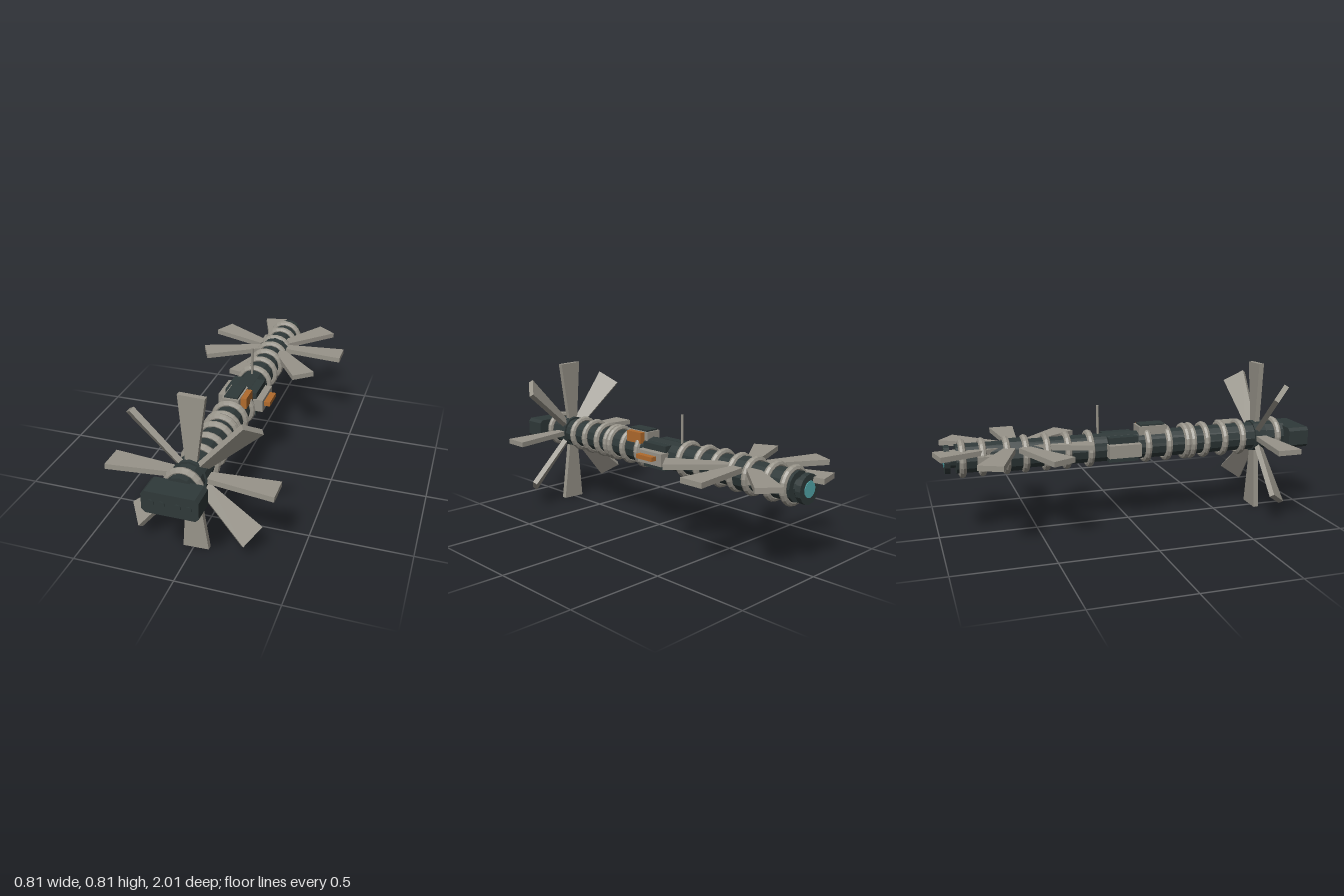
import * as THREE from 'three';

const AXIS = 0.41; // height of the hull axis

function material(name, color) {
  const m = new THREE.MeshStandardMaterial({ color });
  m.name = name;
  return m;
}

export function createModel() {
  const root = new THREE.Group();
  root.name = 'spaceStation';
  const dark = material('dark hull', 0x2f3939);
  const grey = material('warm grey metal', 0x98948a);
  const orange = material('orange panel', 0xb06a2c);
  const cyan = material('cyan glow', 0x55aaad);

  const add = (name, geometry, mat, x, y, z, parent = root) => {
    const mesh = new THREE.Mesh(geometry, mat);
    mesh.name = name;
    mesh.position.set(x, y, z);
    parent.add(mesh);
    return mesh;
  };
  // box given by its limits on each axis
  const box = (name, mat, x0, x1, y0, y1, z0, z1) =>
    add(name, new THREE.BoxGeometry(x1 - x0, y1 - y0, z1 - z0), mat,
      (x0 + x1) / 2, (y0 + y1) / 2, (z0 + z1) / 2);
  // faceted cylinder along z
  const drum = (name, mat, radius, z0, z1, sides = 12, x = 0) => {
    const g = new THREE.CylinderGeometry(radius, radius, z1 - z0, sides).toNonIndexed();
    g.rotateX(Math.PI / 2);
    g.computeVertexNormals();
    return add(name, g, mat, x, AXIS, (z0 + z1) / 2);
  };

  // Hull
  drum('hull', dark, 0.076, -0.9, 0.89);

  // Rings around the hull
  const ringZ = [0.84, 0.63, 0.525, 0.42, 0.343, 0.31, 0.205, 0.09,
    -0.22, -0.34, -0.447, -0.555, -0.65, -0.77, -0.87];
  const ring = new THREE.TorusGeometry(0.081, 0.018, 8, 20).toNonIndexed();
  ring.computeVertexNormals();
  ringZ.forEach((z) => add('hullRing', ring, grey, 0, AXIS, z));

  // Front head block with cut corners
  const [hw, hh, c] = [0.132, 0.055, 0.016];
  const headShape = new THREE.Shape([
    [-hw + c, -hh], [hw - c, -hh], [hw, -hh + c], [hw, hh - c],
    [hw - c, hh], [-hw + c, hh], [-hw, hh - c], [-hw, -hh + c],
  ].map(([x, y]) => new THREE.Vector2(x, y)));
  add('headBlock', new THREE.ExtrudeGeometry(headShape, { depth: 0.115, bevelEnabled: false }),
    dark, -0.003, AXIS, 0.88);
  [-0.09, -0.04, 0.033, 0.083].forEach((x) => drum('headPort', dark, 0.017, 0.99, 1.0, 20, x));

  // Tapered blade lying along +x
  const bladeShape = new THREE.Shape([
    [0.08, -0.029], [0.403, -0.064], [0.403, 0.064], [0.08, 0.029],
  ].map(([x, y]) => new THREE.Vector2(x, y)));
  const blade = new THREE.ExtrudeGeometry(bladeShape, { depth: 0.027, bevelEnabled: false });
  blade.translate(0, 0, -0.0135);
  const addBlade = (parent, angle, pitch) => {
    const mesh = add('blade', blade, grey, 0, 0, 0, parent);
    mesh.rotation.set(pitch, 0, angle, 'ZYX');
  };

  // Front fan: the blade pitch follows its angle
  const frontFan = new THREE.Group();
  frontFan.name = 'frontFan';
  frontFan.position.set(0, AXIS, 0.738);
  root.add(frontFan);
  const lean = [-1.5, 0, -1.8, 0, 0, 0, 1.8, 0];
  lean.forEach((deg, i) => {
    const a = i * Math.PI / 4;
    addBlade(frontFan, a + THREE.MathUtils.degToRad(deg), Math.PI / 2 - a);
  });
  drum('frontFanHub', dark, 0.086, 0.705, 0.77);

  // Rear fan: seven flat blades in a level plane
  const rearFan = new THREE.Group();
  rearFan.name = 'rearFan';
  rearFan.position.set(0, 0.449, -0.605);
  rearFan.rotation.x = -Math.PI / 2;
  root.add(rearFan);
  for (let i = 0; i < 7; i++) addBlade(rearFan, i * Math.PI * 2 / 7 + 0.01, 0);
  drum('rearFanHub', dark, 0.086, -0.635, -0.575);

  // Middle module with side pods
  box('middleModule', dark, -0.085, 0.085, 0.345, 0.475, -0.13, 0.03);
  for (const s of [-1, 1]) {
    const pod = box('sidePod', grey, 0.07, 0.122, 0.375, 0.442, -0.137, 0.036);
    pod.position.x *= s;
  }
  box('sidePanel', orange, 0.12, 0.155, 0.402, 0.425, -0.1, 0.015);

  // Roof box with its side panel
  box('roofBox', grey, -0.045, 0.045, 0.45, 0.515, 0.045, 0.2);
  box('roofBoxLid', dark, -0.036, 0.036, 0.515, 0.523, 0.055, 0.19);
  box('roofBoxPanel', orange, 0.04, 0.075, 0.455, 0.513, 0.066, 0.17);

  // Antenna
  add('antenna', new THREE.CylinderGeometry(0.007, 0.007, 0.16, 8), grey, 0, 0.555, -0.167);

  // Rear side plates
  box('rearLeftPlate', grey, 0.06, 0.084, 0.388, 0.436, -0.8, -0.67);
  box('rearRightPlate', grey, -0.108, -0.06, 0.388, 0.436, -0.8, -0.69);

  // Tail nozzle
  drum('tailNeck', dark, 0.045, -0.935, -0.895);
  drum('tailDisc', dark, 0.072, -0.957, -0.93, 16);
  drum('tailGlow', cyan, 0.04, -0.96, -0.952, 16);

  return root;
}
